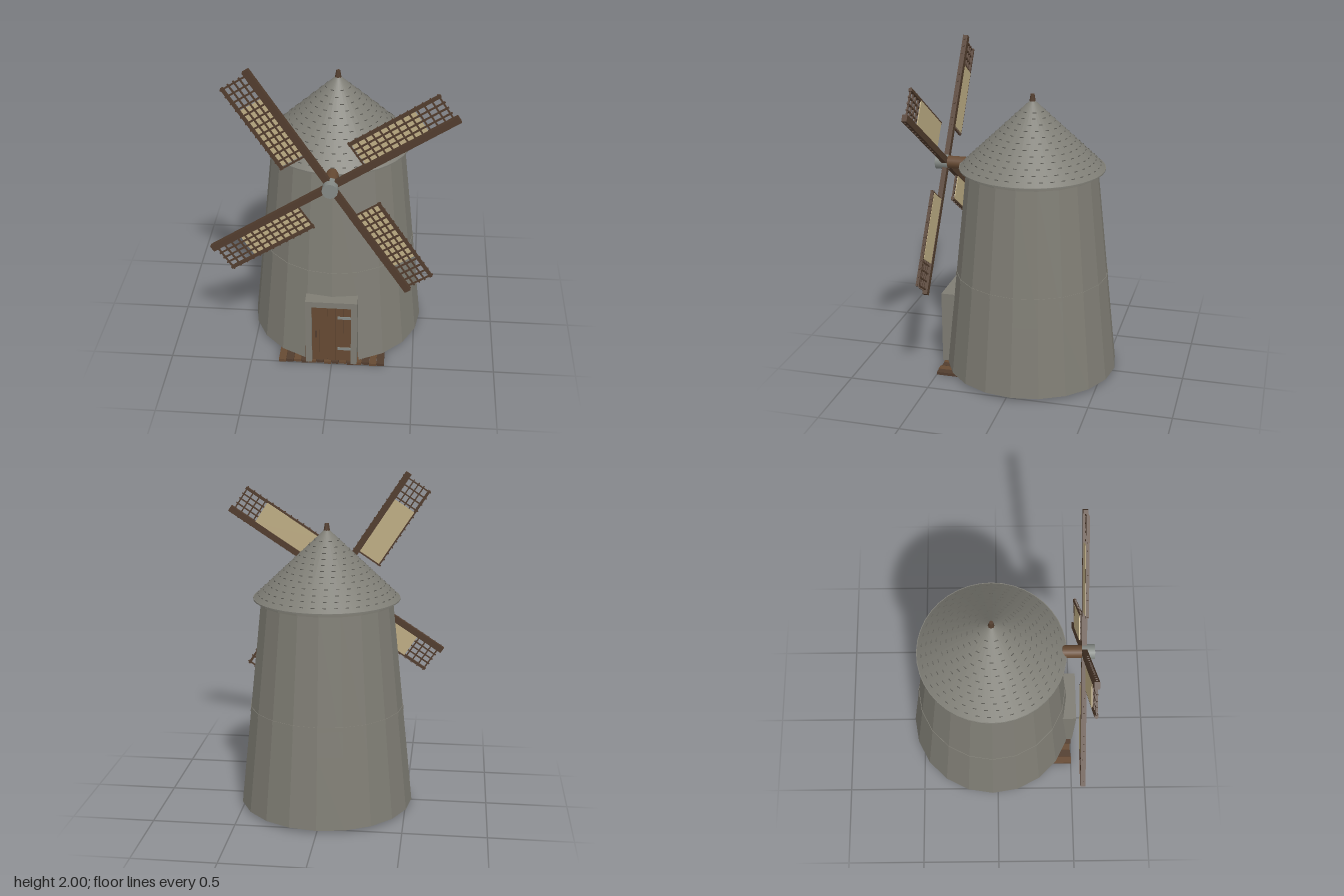
import * as THREE from 'three';

const mat = (name, color) => {
  const m = new THREE.MeshStandardMaterial({ color });
  m.name = name;
  return m;
};

export function createModel() {
  const stone = mat('stone', 0x7f7d74);
  const slate = mat('roof slate', 0x7f7e76);
  const darkSlate = mat('dark slate', 0x5d5c56);
  const wood = mat('door wood', 0x664a33);
  const darkWood = mat('dark timber', 0x523d2e);
  const cloth = mat('sail cloth', 0xbfae85);
  const iron = mat('iron', 0x858a86);

  const model = new THREE.Group();
  model.name = 'windmill';
  const CZ = -0.035; // tower axis

  const add = (parent, name, geo, material, x = 0, y = 0, z = 0) => {
    const mesh = new THREE.Mesh(geo, material);
    mesh.name = name;
    mesh.position.set(x, y, z);
    parent.add(mesh);
    return mesh;
  };
  // box given by its minimum and maximum corners
  const box = (parent, name, material, x0, x1, y0, y1, z0, z1) =>
    add(parent, name, new THREE.BoxGeometry(x1 - x0, y1 - y0, z1 - z0), material,
      (x0 + x1) / 2, (y0 + y1) / 2, (z0 + z1) / 2);
  // faceted ring wall from a closed profile
  const lathe = (pts, segs, start = 0, length = Math.PI * 2, flat = true) => {
    let g = new THREE.LatheGeometry(pts.map(p => new THREE.Vector2(...p)), segs, start, length);
    if (flat) {
      g = g.toNonIndexed();
      g.computeVertexNormals();
    }
    return g;
  };

  // Tower: tapering 20-sided wall with a doorway two facets wide
  const radius = y => 0.535 - (y - 0.02) * 0.1055;
  const wall = (y0, y1, t = 0.06) => [
    [radius(y0), y0], [radius(y1), y1], [radius(y1) - t, y1], [radius(y0) - t, y0], [radius(y0), y0]];
  const step = Math.PI / 10;
  add(model, 'lowerWall', lathe(wall(0.02, 0.46), 18, step, step * 18), stone, 0, 0, CZ);
  add(model, 'upperWall', lathe(wall(0.46, 1.3), 20), stone, 0, 0, CZ);
  add(model, 'stringCourse', lathe([[0.46, 0.615], [radius(0.615) + 0.003, 0.615],
    [radius(0.64) + 0.003, 0.64], [0.46, 0.64]], 20), stone, 0, 0, CZ);
  add(model, 'upperFloor', new THREE.CylinderGeometry(0.43, 0.43, 0.025, 20), wood, 0, 0.628, CZ);
  add(model, 'topRim', lathe([[0.35, 1.285], [0.415, 1.285], [0.415, 1.31], [0.35, 1.31]], 20), stone, 0, 0, CZ);

  // Roof cone with closed underside
  const roofR = 0.443, roofY = 1.308, tipR = 0.016, tipY = 1.715;
  add(model, 'roof', new THREE.CylinderGeometry(tipR, roofR, tipY - roofY, 40), slate, 0, (roofY + tipY) / 2, CZ);
  add(model, 'roofEdge', new THREE.CylinderGeometry(roofR, roofR, 0.008, 40), slate, 0, roofY, CZ);
  add(model, 'finial', new THREE.CylinderGeometry(0.012, 0.022, 0.06, 8), darkWood, 0, 1.725, CZ);

  // Shingle edges set almost flush in the roof
  const rows = 12, shingles = [];
  for (let r = 0; r < rows; r++) {
    const t = 0.07 + r * 0.072;
    const rad = roofR + (tipR - roofR) * t;
    const count = Math.max(8, Math.round(rad * 95));
    for (let i = 0; i < count; i++) shingles.push([t, rad, ((i + (r % 2) / 2) / count) * Math.PI * 2]);
  }
  const tiles = new THREE.Group();
  tiles.name = 'shingles';
  model.add(tiles);
  const tileGeo = new THREE.BoxGeometry(0.022, 0.004, 0.004);
  for (const [t, rad, a] of shingles) {
    const tile = add(tiles, 'shingleEdge', tileGeo, darkSlate,
      Math.sin(a) * rad, roofY + (tipY - roofY) * t, CZ + Math.cos(a) * rad);
    tile.rotation.y = a;
  }

  // Plank floor reaching out below the door
  const planks = 14, pw = 0.655 / planks;
  for (let i = 0; i < planks; i++) {
    const x = -0.328 + i * pw;
    const end = 0.503 - (i % 3) * 0.004;
    box(model, 'floorPlank', i % 2 ? darkWood : wood, x, x + pw - 0.002, 0, 0.018, -0.36, end);
  }

  // Stone door frame
  for (const s of [-1, 1]) {
    const a = s * 0.12, b = s * 0.157;
    box(model, 'doorJamb', stone, Math.min(a, b), Math.max(a, b), 0.018, 0.44, 0.38, 0.513);
  }
  box(model, 'doorLintel', stone, -0.157, 0.157, 0.44, 0.48, 0.38, 0.513);

  // Plank door with hinges and latch
  for (let i = 0; i < 5; i++) {
    const x = -0.12 + i * 0.048;
    box(model, 'doorPlank', wood, x, x + 0.0465, 0.02, 0.44, 0.46, 0.488);
  }
  box(model, 'doorBacking', darkWood, -0.12, 0.12, 0.02, 0.44, 0.455, 0.482);
  for (const y of [0.115, 0.352]) box(model, 'doorHinge', iron, 0.037, 0.12, y - 0.009, y + 0.009, 0.487, 0.493);
  box(model, 'doorLatch', darkWood, -0.1, -0.088, 0.2, 0.25, 0.487, 0.497);

  // Simple furnishings inside
  box(model, 'tableTop', wood, -0.3, -0.08, 0.16, 0.18, -0.3, -0.12);
  for (const x of [-0.29, -0.11])
    for (const z of [-0.29, -0.15]) box(model, 'tableLeg', darkWood, x, x + 0.02, 0.018, 0.16, z, z + 0.02);
  add(model, 'barrel', lathe([[0, 0], [0.05, 0], [0.065, 0.07], [0.05, 0.14], [0, 0.14]], 12), wood, 0.22, 0.018, -0.22);

  // Windshaft and hub
  const HY = 1.296;
  const shaft = add(model, 'windshaft', new THREE.CylinderGeometry(0.039, 0.039, 0.35, 12), wood, 0, HY + 0.002, 0.345);
  shaft.rotation.x = Math.PI / 2;
  const hub = add(model, 'hub', new THREE.CylinderGeometry(0.046, 0.046, 0.076, 12), iron, 0, HY, 0.533);
  hub.rotation.x = Math.PI / 2;

  // Four lattice sails; local x runs along the spar
  for (let k = 0; k < 4; k++) {
    const sail = new THREE.Group();
    sail.name = 'sail';
    sail.position.set(0, HY, 0.51);
    sail.rotation.z = THREE.MathUtils.degToRad(33.2 + 90 * k);
    model.add(sail);
    box(sail, 'spar', darkWood, 0, 0.83, -0.02, 0.02, -0.015, 0.015);
    box(sail, 'outerRail', darkWood, 0.23, 0.812, 0.162, 0.178, -0.01, 0.01);
    box(sail, 'sailCloth', cloth, 0.243, 0.645, 0.016, 0.168, -0.012, -0.007);
    for (let i = 0; i < 13; i++) {
      const u = 0.235 + i * 0.0473;
      box(sail, 'crossBar', darkWood, u - 0.004, u + 0.004, -0.025, 0.185, -0.004, 0.006);
    }
    for (const v of [0.053, 0.09, 0.127])
      box(sail, 'longBar', darkWood, 0.23, 0.815, v - 0.004, v + 0.004, -0.003, 0.007);
  }
  return model;
}
